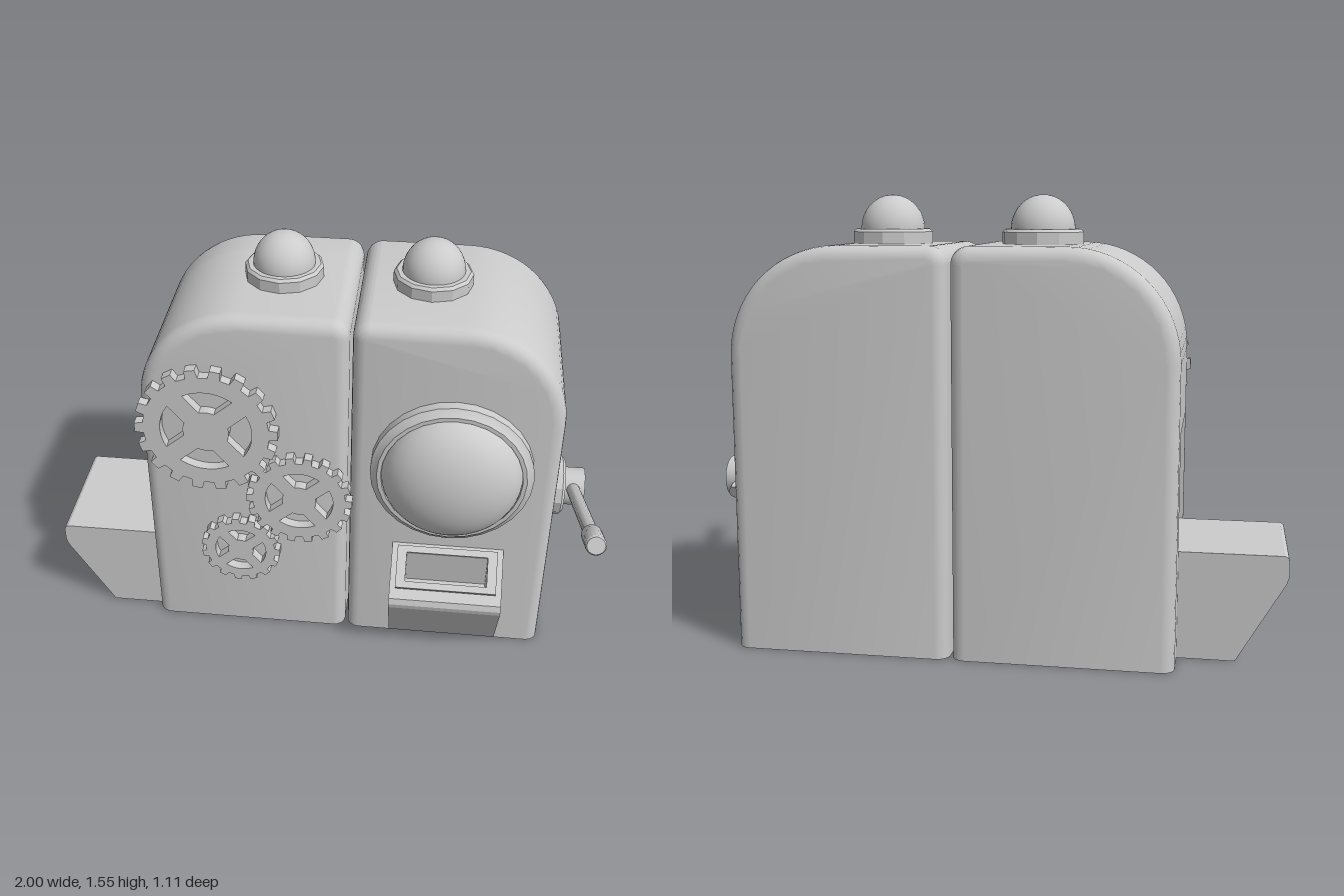
import * as THREE from 'three';
import { toCreasedNormals } from 'three/addons/utils/BufferGeometryUtils.js';

const material = new THREE.MeshStandardMaterial({ color: 0xcccccc });
const BACK = -0.555, FRONT = 0.105, BEVEL = 0.045;
const TRAY_BACK = -0.4, TRAY_FRONT = 0.055;

function add(parent, name, geometry, x = 0, y = 0, z = 0) {
  const mesh = new THREE.Mesh(geometry, material);
  mesh.name = name;
  mesh.position.set(x, y, z);
  parent.add(mesh);
  return mesh;
}

const polygon = (pts) => new THREE.Shape(pts.map(([x, y]) => new THREE.Vector2(x, y)));
const flatExtrude = (shape, depth, curveSegments = 8) =>
  new THREE.ExtrudeGeometry(shape, { depth, bevelEnabled: false, curveSegments });
const smooth = (geometry, angle = 0.6) => toCreasedNormals(geometry, angle);

// Lathe from [radius, height] pairs
const lathe = (pts, sides, angle = 0.6) =>
  smooth(new THREE.LatheGeometry(pts.map(([r, h]) => new THREE.Vector2(r, h)), sides), angle);

// Prism along x from a [z, y] profile
function prismX(profile, x0, x1) {
  const g = flatExtrude(polygon(profile.map(([z, y]) => [-z, y])), x1 - x0);
  return g.rotateY(Math.PI / 2).translate(x0, 0, 0);
}

// Half-cabinet outline with one big rounded shoulder; it runs below the ground and is clamped later
function cabinetOutline(mirrored, notch) {
  const s = new THREE.Shape();
  s.moveTo(0.11, -0.1);
  s.lineTo(0.11, 1.32);
  s.absarc(0.05, 1.32, 0.06, 0, Math.PI / 2, false);
  s.lineTo(-0.265, 1.38);
  s.absarc(-0.265, 1.01, 0.37, Math.PI / 2, Math.PI, false);
  if (notch) [[-0.635, 0.77], [-0.22, 0.77], [-0.22, 0.37], [-0.635, 0.37]].forEach(([x, y]) => s.lineTo(x, y));
  s.lineTo(-0.635, -0.1);
  const pts = s.getPoints(8);
  return new THREE.Shape(mirrored ? pts.map((p) => new THREE.Vector2(0.23 - p.x, p.y)).reverse() : pts);
}

// Bevelled cabinet, cut to a z range and flattened at the ground
function cabinetSlice(shape, z0, z1, bevelled) {
  const g = bevelled
    ? new THREE.ExtrudeGeometry(shape, {
      depth: FRONT - BACK - 2 * BEVEL, bevelThickness: BEVEL, bevelSize: BEVEL, bevelOffset: -BEVEL, bevelSegments: 4,
    }).translate(0, 0, BACK + BEVEL)
    : flatExtrude(shape, z1 - z0).translate(0, 0, z0);
  const p = g.attributes.position;
  for (let i = 0; i < p.count; i++) {
    p.setY(i, Math.max(0, p.getY(i)));
    p.setZ(i, THREE.MathUtils.clamp(p.getZ(i), z0, z1));
  }
  return smooth(g);
}

// Gear with square teeth and four windows between straight spokes
function gearGeometry(radius, teeth) {
  const pts = [], root = radius * 0.88, step = (Math.PI * 2) / teeth;
  for (let i = 0; i < teeth; i++) {
    [[-0.28, root], [-0.21, radius], [0.21, radius], [0.28, root]].forEach(([f, r]) => {
      const a = (i + f) * step;
      pts.push([Math.cos(a) * r, Math.sin(a) * r]);
    });
  }
  const shape = polygon(pts);
  const inner = radius * 0.32, outer = radius * 0.64, half = radius * 0.14;
  for (let k = 0; k < 4; k++) {
    const mid = k * Math.PI / 2 - 0.08;
    const aOut = Math.PI / 4 - Math.asin(half / outer), aIn = Math.PI / 4 - Math.asin(half / inner);
    const hole = new THREE.Path();
    hole.absarc(0, 0, outer, mid - aOut, mid + aOut, false);
    hole.absarc(0, 0, inner, mid + aIn, mid - aIn, true);
    hole.closePath();
    shape.holes.push(hole);
  }
  return flatExtrude(shape, 0.038, 6);
}

export function createModel() {
  const model = new THREE.Group();
  model.name = 'leverMachine';

  // Cabinet halves; the one with the tray is cut in slices to leave a recess
  const trayHalf = new THREE.Group();
  trayHalf.name = 'trayCabinetHalf';
  model.add(trayHalf);
  add(trayHalf, 'cabinetBack', cabinetSlice(cabinetOutline(false), BACK, TRAY_BACK, true));
  add(trayHalf, 'cabinetMiddle', cabinetSlice(cabinetOutline(false, true), TRAY_BACK, TRAY_FRONT, false));
  add(trayHalf, 'cabinetFront', cabinetSlice(cabinetOutline(false), TRAY_FRONT, FRONT, true));
  add(model, 'leverCabinetHalf', cabinetSlice(cabinetOutline(true), BACK, FRONT, true));

  // Side tray
  const tray = polygon([[-0.6, 0], [-0.6, 0.37], [-0.985, 0.37], [-0.997, 0.362], [-1, 0.35],
    [-1, 0.3], [-0.992, 0.275], [-0.83, 0]]);
  add(model, 'tray', flatExtrude(tray, TRAY_FRONT - TRAY_BACK), 0, 0, TRAY_BACK);

  // Roof lamps
  for (const x of [-0.15, 0.375]) {
    const lamp = new THREE.Group();
    lamp.name = 'roofLamp';
    lamp.position.set(x, 1.375, -0.225);
    model.add(lamp);
    add(lamp, 'lampBase', lathe([[0, 0], [0.14, 0], [0.14, 0.045], [0.13, 0.055], [0, 0.055]], 12, 0.4));
    add(lamp, 'lampDome', new THREE.SphereGeometry(0.11, 32, 12, 0, Math.PI * 2, 0, Math.PI / 2), 0, 0.055, 0)
      .scale.y = 1.05;
  }

  // Round window with a stepped rim and bulging glass
  const porthole = new THREE.Group();
  porthole.name = 'roundWindow';
  porthole.position.set(0.485, 0.815, FRONT);
  porthole.rotation.x = Math.PI / 2;
  model.add(porthole);
  add(porthole, 'windowRim', lathe([[0.29, -0.01], [0.29, 0.038], [0.275, 0.048], [0.265, 0.06], [0.25, 0.06], [0.245, 0.02]], 28));
  add(porthole, 'windowGlass', new THREE.SphereGeometry(0.25, 40, 16, 0, Math.PI * 2, 0, Math.PI / 2), 0, 0.035, 0)
    .scale.y = 0.58;

  // Gear train
  [[-0.39, 0.937, 0.258, 18], [-0.06, 0.65, 0.195, 18], [-0.285, 0.393, 0.15, 15]].forEach(([x, y, r, n]) =>
    add(model, 'gear', gearGeometry(r, n), x, y, FRONT + 0.002));

  // Slot housing, with a funnel cut into its sloping top
  const slot = new THREE.Group();
  slot.name = 'slotHousing';
  model.add(slot);
  const start = [0.278, 0.328], tilt = -0.932;
  const onSlope = (s) => [start[0] + Math.sin(tilt) * s, start[1] + Math.cos(tilt) * s];
  const lower = [[0.09, 0], [0.105, 0], [0.28, 0.285], [0.285, 0.305], start];
  const solid = [...lower, [0.105, 0.455], [0.09, 0.455]];
  const hollow = [...lower, onSlope(0.065), [0.16, 0.26], [0.12, 0.29], onSlope(0.175), [0.105, 0.455], [0.09, 0.455]];
  add(slot, 'housingSide', prismX(solid, 0.287, 0.343));
  add(slot, 'housingMiddle', prismX(hollow, 0.343, 0.643));
  add(slot, 'housingSide', prismX(solid, 0.643, 0.7));
  const rim = polygon([[-0.185, 0.04], [0.185, 0.04], [0.185, 0.2], [-0.185, 0.2]]);
  rim.holes.push(polygon([[-0.15, 0.065], [-0.15, 0.175], [0.15, 0.175], [0.15, 0.065]]));
  add(slot, 'slotRim', flatExtrude(rim, 0.022), 0.493, start[1], start[0]).rotation.x = tilt;

  // Side lever: hub, rod and grip
  const lever = new THREE.Group();
  lever.name = 'lever';
  lever.position.set(0, 0.53, -0.215);
  model.add(lever);
  const hub = lathe([[0, 0], [0.113, 0], [0.113, 0.05], [0.103, 0.06], [0, 0.06]], 12, 0.4);
  add(lever, 'hubPlate', hub, 0.862, 0, 0).rotation.z = -Math.PI / 2;
  const cap = smooth(new THREE.CylinderGeometry(0.073, 0.073, 0.09, 24));
  add(lever, 'hubCap', cap, 0.953, 0, 0).rotation.z = Math.PI / 2;
  const arm = new THREE.Group();
  arm.name = 'leverArm';
  arm.position.x = 0.955;
  arm.rotation.x = Math.PI / 2 - 0.435;
  lever.add(arm);
  add(arm, 'leverRod', smooth(new THREE.CylinderGeometry(0.025, 0.025, 0.86, 16)), 0, 0.33, 0);
  add(arm, 'leverGrip', lathe([[0, 0.69], [0.03, 0.69], [0.035, 0.7], [0.035, 0.83], [0.03, 0.838], [0, 0.838]], 16), 0, 0, 0);

  return model;
}
